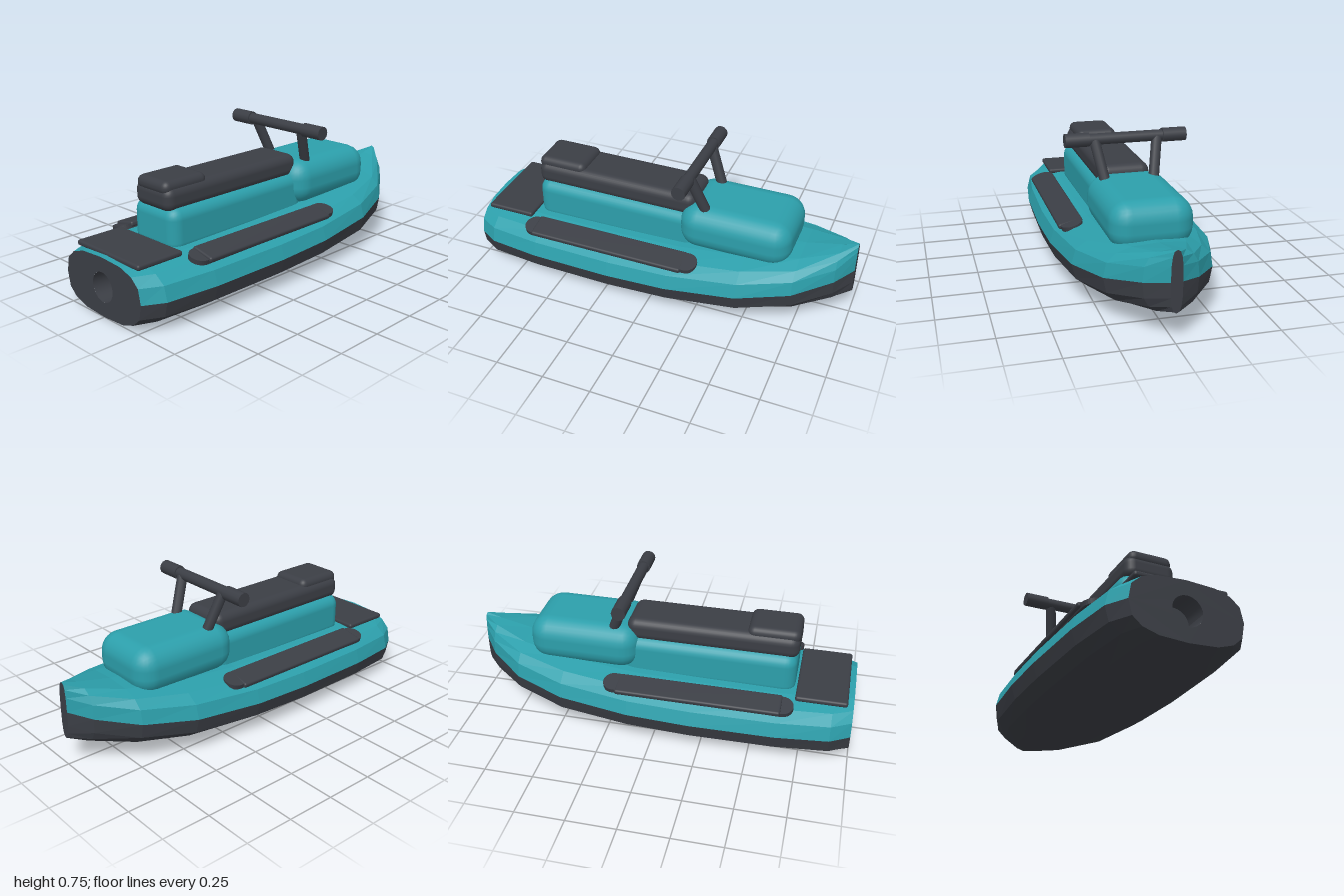
import * as THREE from 'three';
import { RoundedBoxGeometry } from 'three/addons/geometries/RoundedBoxGeometry.js';

// Hull stations: x, half width, bottom y, widest y, deck y
const STATIONS = [
  [-1, 0.28, 0, 0.15, 0.3],
  [-0.9, 0.34, 0.002, 0.152, 0.3],
  [-0.63, 0.375, 0.008, 0.156, 0.303],
  [-0.2, 0.392, 0.015, 0.165, 0.308],
  [0.12, 0.387, 0.025, 0.175, 0.316],
  [0.48, 0.35, 0.045, 0.2, 0.345],
  [0.74, 0.26, 0.08, 0.23, 0.375],
  [0.92, 0.13, 0.12, 0.27, 0.415],
  [1, 0.028, 0.145, 0.293, 0.44],
];
const SIDES = 16;
const NOZZLE_R = 0.075;

const soft = (v) => Math.sign(v) * Math.pow(Math.abs(v), 0.72);

// Point k of the rounded cross-section at a station
function sectionPoint([x, w, bottom, mid, top], k) {
  const a = (k / SIDES) * Math.PI * 2;
  const s = Math.abs(Math.sin(a)) < 1e-6 ? 0 : Math.sin(a);
  const c = Math.abs(Math.cos(a)) < 1e-6 ? 0 : Math.cos(a);
  return [x, mid + soft(s) * (s > 0 ? top - mid : mid - bottom), w * soft(c)];
}

function hullBand(from, to) {
  const pos = [];
  for (let i = 0; i < STATIONS.length - 1; i++) {
    for (let k = from; k < to; k++) {
      const a = sectionPoint(STATIONS[i], k);
      const b = sectionPoint(STATIONS[i + 1], k);
      const c = sectionPoint(STATIONS[i + 1], k + 1);
      const d = sectionPoint(STATIONS[i], k + 1);
      pos.push(...a, ...b, ...c, ...a, ...c, ...d);
    }
  }
  const g = new THREE.BufferGeometry();
  g.setAttribute('position', new THREE.Float32BufferAttribute(pos, 3));
  g.computeVertexNormals();
  return g;
}

function sectionShape(station) {
  const pts = [];
  for (let k = 0; k < SIDES; k++) {
    const [, y, z] = sectionPoint(station, k);
    pts.push(new THREE.Vector2(z, y));
  }
  return new THREE.Shape(pts);
}

export function createModel() {
  const teal = new THREE.MeshStandardMaterial({ color: 0x2c9fab });
  teal.name = 'teal';
  const dark = new THREE.MeshStandardMaterial({ color: 0x3b3e45 });
  dark.name = 'charcoal';

  const model = new THREE.Group();
  model.name = 'waterScooter';

  function add(name, geometry, material, parent = model) {
    const mesh = new THREE.Mesh(geometry, material);
    mesh.name = name;
    parent.add(mesh);
    return mesh;
  }
  // Rounded block given by its extents
  function block(name, x0, x1, y0, y1, halfZ, radius, material, z = 0) {
    const g = new RoundedBoxGeometry(x1 - x0, y1 - y0, halfZ * 2, 3, radius);
    const mesh = add(name, g, material);
    mesh.position.set((x0 + x1) / 2, (y0 + y1) / 2, z);
    return mesh;
  }
  // Round bar between two points
  function bar(name, a, b, radius) {
    const from = new THREE.Vector3(...a);
    const to = new THREE.Vector3(...b);
    const dir = to.clone().sub(from);
    const mesh = add(name, new THREE.CylinderGeometry(radius, radius, dir.length(), 12), dark);
    mesh.position.copy(from).add(to).multiplyScalar(0.5);
    mesh.quaternion.setFromUnitVectors(new THREE.Vector3(0, 1, 0), dir.normalize());
  }

  // Hull
  add('upperHull', hullBand(0, SIDES / 2), teal);
  add('lowerHull', hullBand(SIDES / 2, SIDES), dark);
  const stem = add('bowStem', new THREE.ShapeGeometry(sectionShape(STATIONS[STATIONS.length - 1])), dark);
  stem.position.x = 1;
  stem.rotation.y = Math.PI / 2;

  // Transom with the jet nozzle opening
  const transomShape = sectionShape(STATIONS[0]);
  const hole = new THREE.Path();
  hole.absarc(0, 0.15, NOZZLE_R, 0, Math.PI * 2, true);
  transomShape.holes.push(hole);
  const transom = add('transom', new THREE.ShapeGeometry(transomShape, 16), dark);
  transom.position.x = -1;
  transom.rotation.y = -Math.PI / 2;

  // Inward-facing nozzle wall and its end
  const wall = new THREE.CylinderGeometry(NOZZLE_R, NOZZLE_R, 0.12, 24, 1, true);
  wall.rotateZ(Math.PI / 2).scale(-1, 1, 1);
  wall.computeVertexNormals();
  add('nozzleWall', wall, dark).position.set(-0.94, 0.15, 0);
  const end = add('nozzleEnd', new THREE.CircleGeometry(NOZZLE_R, 24), dark);
  end.position.set(-0.88, 0.15, 0);
  end.rotation.y = -Math.PI / 2;

  // Body, seat and cowl
  block('seatBase', -0.7, 0.2, 0.25, 0.48, 0.155, 0.06, teal);
  block('seat', -0.705, 0.18, 0.455, 0.577, 0.128, 0.045, dark);
  block('seatBack', -0.705, -0.44, 0.535, 0.606, 0.112, 0.034, dark);
  block('cowl', 0.11, 0.695, 0.3, 0.542, 0.205, 0.1, teal);
  block('rearMat', -0.97, -0.71, 0.286, 0.314, 0.232, 0.012, dark);

  // Footwells with treads, and handlebar parts, on both sides
  for (const [side, s] of [['left', -1], ['right', 1]].map(([n, v]) => [n, -v]).map(([n, v]) => [n, n === 'left' ? -Math.abs(v) : Math.abs(v)])) {
    const label = s < 0 ? 'right' : 'left';
    const strip = new THREE.Shape();
    strip.absarc(0.43, 0, 0.055, -Math.PI / 2, Math.PI / 2, false);
    strip.absarc(-0.43, 0, 0.055, Math.PI / 2, Math.PI * 1.5, false);
    const stripGeo = new THREE.ExtrudeGeometry(strip, { depth: 0.024, bevelEnabled: false, curveSegments: 8 });
    stripGeo.translate(0, 0, -0.012).rotateX(-Math.PI / 2);
    const well = add(label + 'Footwell', stripGeo, dark);
    well.position.set(-0.225, 0.289, s * 0.287);
    well.rotation.set(s * 0.25, 0, 0.011);

    const tread = block(label + 'FootTread', -0.65, 0.19, 0.278, 0.306, 0.064, 0.011, dark, s * 0.29);
    tread.rotation.x = s * 0.22;

    bar(label + 'HandlebarPost', [0.252, 0.5, s * 0.121], [0.17, 0.712, s * 0.16], 0.027);
    bar(label + 'Grip', [0.165, 0.718, s * 0.188], [0.165, 0.718, s * 0.31], 0.036);
  }
  bar('handlebar', [0.165, 0.718, -0.2], [0.165, 0.718, 0.2], 0.029);

  return model;
}
